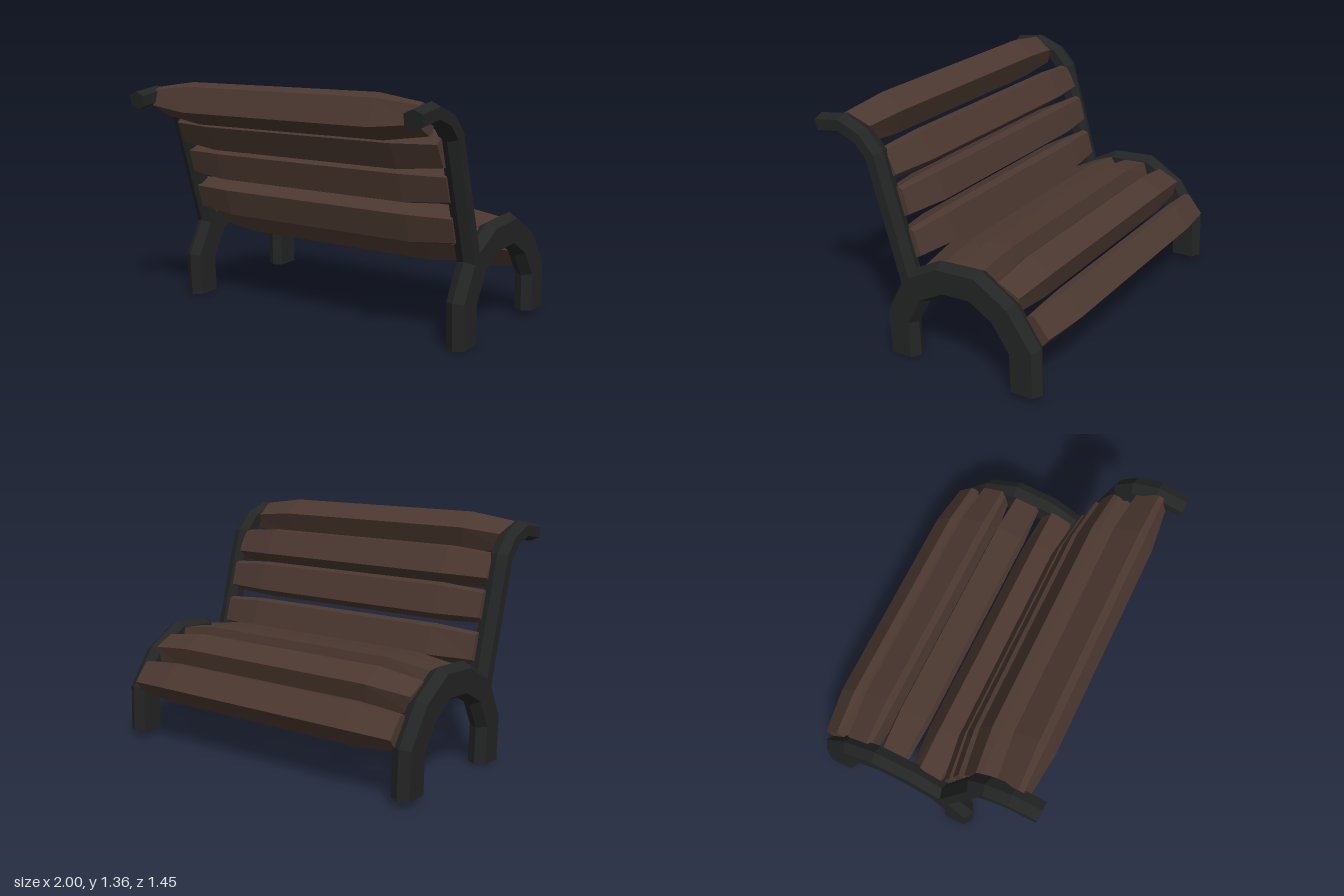
import * as THREE from 'three';

const iron = new THREE.MeshStandardMaterial({ color: 0x232424, flatShading: true });
iron.name = 'blackened iron';
const wood = new THREE.MeshStandardMaterial({ color: 0x4b3830, flatShading: true });
wood.name = 'dark brown wood';

// Skin a list of equal-sized rings and close both ends
function loft(rings) {
  const n = rings[0].length, last = (rings.length - 1) * n, index = [];
  for (let r = 0; r < rings.length - 1; r++) {
    for (let i = 0; i < n; i++) {
      const j = (i + 1) % n, a = r * n + i, b = r * n + j;
      index.push(a, b, b + n, a, b + n, a + n);
    }
  }
  for (let i = 1; i < n - 1; i++) {
    index.push(0, i + 1, i, last, last + i, last + i + 1);
  }
  const indexed = new THREE.BufferGeometry();
  indexed.setAttribute('position', new THREE.Float32BufferAttribute(rings.flat(2), 3));
  indexed.setIndex(index);
  const geometry = indexed.toNonIndexed();
  geometry.computeVertexNormals();
  return geometry;
}

// Six-sided iron bar along a side path of [forward, up] points (forward is -z)
function bar(path, x, half, shoulder, thick = 0.055) {
  const section = [[half, 0], [shoulder, thick], [-shoulder, thick],
    [-half, 0], [-shoulder, -thick], [shoulder, -thick]];
  const pts = path.map(p => new THREE.Vector2(...p));
  return loft(pts.map((p, i) => {
    const before = p.clone().sub(pts[i - 1] ?? p).normalize();
    const after = (pts[i + 1] ?? p).clone().sub(p).normalize();
    const t = before.clone().add(after).normalize();
    const miter = 1 / t.dot(i ? before : after);
    return section.map(([w, dx]) =>
      [x + dx, p.y + t.x * w * miter, -(p.x - t.y * w * miter)]);
  }));
}

// Bevelled plank, full in the middle and tapering towards both ends
function slat(forward, up, du, dv) {
  const section = [[-0.08, -0.097], [0.081, -0.096], [0.104, -0.054],
    [0.08, 0.097], [-0.081, 0.096], [-0.104, 0.054]];
  const len = Math.hypot(du, dv), c = du / len, s = dv / len;
  return loft([[-0.905, 0.86, 0.62], [-0.64, 1, 1], [0.64, 1, 1], [0.905, 0.86, 0.62]]
    .map(([x, wide, deep]) => section.map(([a, b]) => {
      const u = a * wide, n = b * deep;
      return [x, up + u * s + n * c, -(forward + u * c - n * s)];
    })));
}

export function createModel() {
  const group = new THREE.Group();
  group.name = 'bench';
  const add = (name, geometry, material) => {
    const mesh = new THREE.Mesh(geometry, material);
    mesh.name = name;
    group.add(mesh);
  };

  // Side frames: arched legs and curled back posts
  const legs = [[-0.2, 0.005], [-0.21, 0.24], [-0.102, 0.44], [0.082, 0.54],
    [0.288, 0.555], [0.46, 0.455], [0.584, 0.28], [0.592, 0.038]];
  const post = [[-0.705, 1.25], [-0.55, 1.275], [-0.425, 1.228],
    [-0.343, 1.142], [-0.14, 0.45]];
  for (const [side, x] of [['left', 0.943], ['right', -0.943]]) {
    add(side + 'ArchedLegs', bar(legs, x, 0.0975, 0.066), iron);
    add(side + 'BackPost', bar(post, x, 0.053, 0.03), iron);
  }

  // Slats as [forward, up, direction forward, direction up]
  const backSlats = [[-0.529, 1.237, 0.87, -0.5], [-0.337, 1.068, 0.46, -0.89],
    [-0.253, 0.874, 0.27, -0.96], [-0.187, 0.648, 0.28, -0.96]];
  const seatSlats = [[0.004, 0.52, 0.92, 0.37], [0.222, 0.55, 1, 0.07],
    [0.432, 0.508, 0.91, -0.41], [0.607, 0.368, 0.64, -0.77]];
  backSlats.forEach((s, i) => add('backSlat' + (i + 1), slat(...s), wood));
  seatSlats.forEach((s, i) => add('seatSlat' + (i + 1), slat(...s), wood));
  return group;
}
